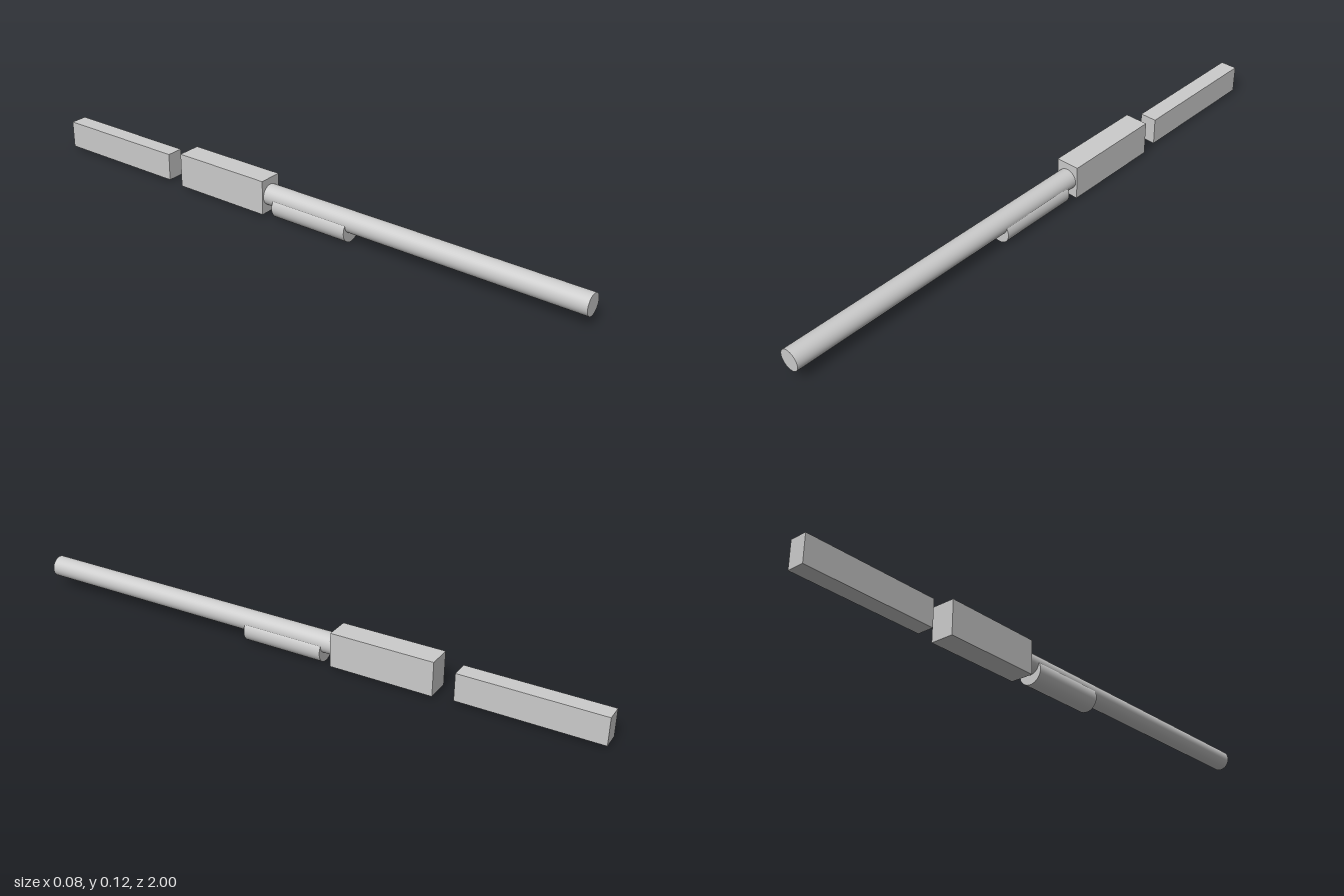
import * as THREE from 'three';

export function createModel() {
  const model = new THREE.Group();
  const material = new THREE.MeshStandardMaterial({ color: 0xcccccc });

  function add(name, geometry, y, zBack, zFront) {
    const mesh = new THREE.Mesh(geometry, material);
    mesh.name = name;
    mesh.position.set(0, y, (zBack + zFront) / 2);
    model.add(mesh);
  }

  // Round bar lying along z
  function rod(name, radius, y, zBack, zFront) {
    const geometry = new THREE.CylinderGeometry(radius, radius, zFront - zBack, 48);
    geometry.rotateX(Math.PI / 2);
    add(name, geometry, y, zBack, zFront);
  }

  // Rectangular block between two heights and two depths
  function block(name, width, yLow, yHigh, zBack, zFront) {
    const geometry = new THREE.BoxGeometry(width, yHigh - yLow, zFront - zBack);
    add(name, geometry, (yLow + yHigh) / 2, zBack, zFront);
  }

  rod('barrel', 0.035, 0.067, -0.12, 1);
  rod('foreGrip', 0.042, 0.042, -0.08, 0.2);
  block('receiver', 0.081, 0.009, 0.125, -0.467, -0.118);
  // The stock sits behind the receiver with a gap
  block('stock', 0.058, 0.009, 0.102, -1, -0.532);

  return model;
}
